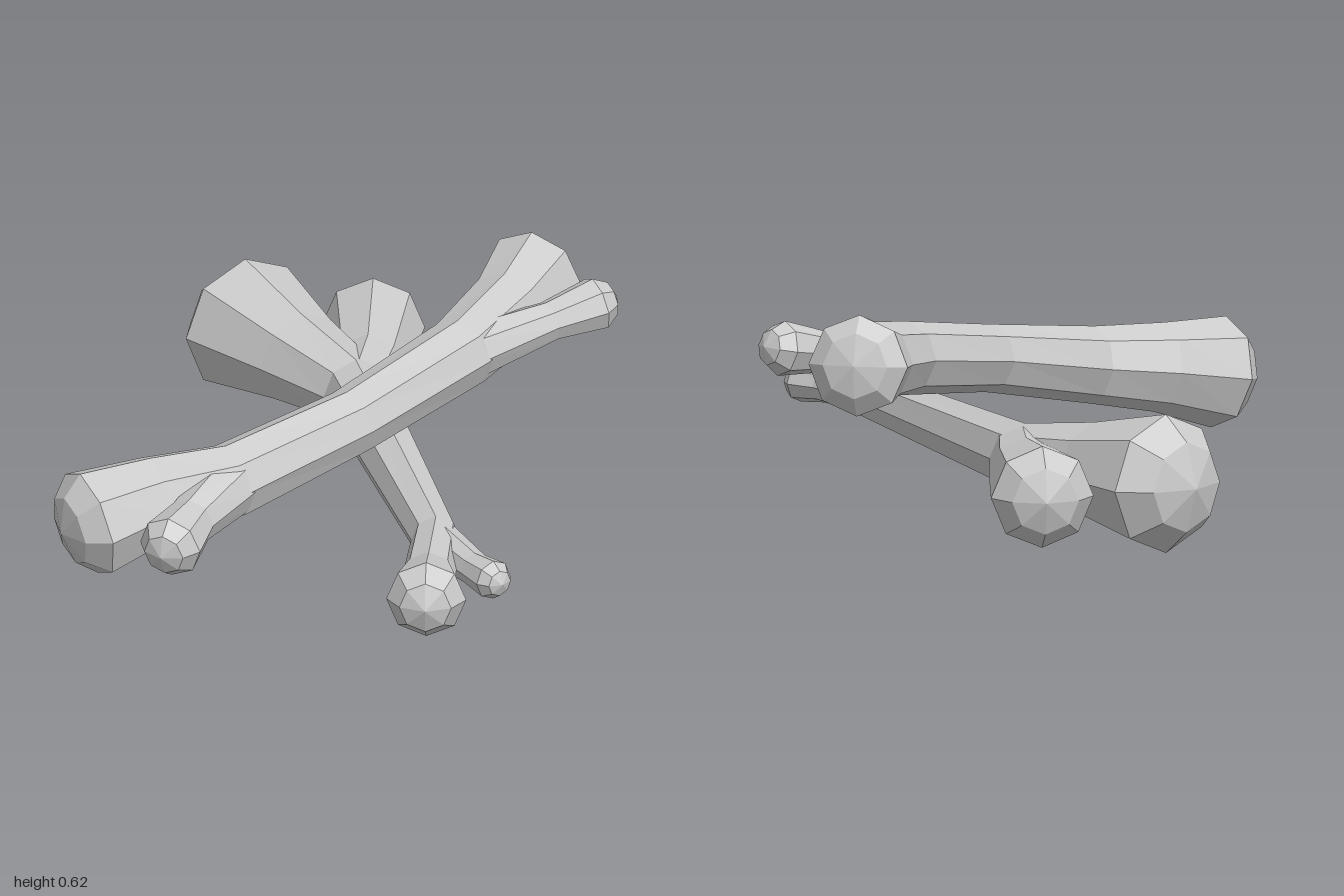
import * as THREE from 'three';

const SIDES = 8;
const material = new THREE.MeshStandardMaterial({ color: 0xcccccc, flatShading: true });

// Faceted limb through rings [x, y, z, radius]; each cap is the depth of a rounded end (0 = open).
function limb(name, rings, startCap, endCap) {
  const centres = rings.map(([x, y, z]) => new THREE.Vector3(x, y, z));
  const radii = rings.map((r) => r[3]);
  const last = centres.length - 1;
  const dir = (a, b) => centres[b].clone().sub(centres[a]).normalize();
  const tangents = centres.map((c, i) => {
    if (i === 0) return dir(0, 1);
    if (i === last) return dir(last - 1, last);
    return dir(i - 1, i).add(dir(i, i + 1)).normalize();
  });

  // A knob end is a smaller ring followed by a point
  const sections = centres.map((c, i) => ({ c, r: radii[i], t: tangents[i] }));
  const cap = (i, depth) => [[0.68, 0.65], [1, 0.001]].map(([d, k]) => ({
    c: centres[i].clone().addScaledVector(tangents[i], depth * d), r: radii[i] * k, t: tangents[i],
  }));
  if (endCap) sections.push(...cap(last, endCap));
  if (startCap) sections.unshift(...cap(0, -startCap).reverse());

  const positions = [];
  const index = [];
  const up = new THREE.Vector3(0, 1, 0);
  sections.forEach(({ c, r, t }, i) => {
    const side = up.clone().cross(t).normalize();
    const top = t.clone().cross(side);
    for (let j = 0; j < SIDES; j++) {
      const a = (j / SIDES) * Math.PI * 2;
      const p = c.clone().addScaledVector(side, r * Math.cos(a)).addScaledVector(top, r * Math.sin(a));
      positions.push(p.x, p.y, p.z);
      if (i === 0) continue;
      const k = (j + 1) % SIDES;
      const lo = (i - 1) * SIDES;
      const hi = i * SIDES;
      index.push(lo + j, lo + k, hi + k, lo + j, hi + k, hi + j);
    }
  });
  const geometry = new THREE.BufferGeometry();
  geometry.setAttribute('position', new THREE.Float32BufferAttribute(positions, 3));
  geometry.setIndex(index);
  geometry.computeVertexNormals();
  const mesh = new THREE.Mesh(geometry, material);
  mesh.name = name;
  return mesh;
}

function bone(name, ...parts) {
  const group = new THREE.Group();
  group.name = name;
  group.add(...parts);
  return group;
}

export function createModel() {
  const model = new THREE.Group();
  model.name = 'crossedBones';

  // Lower bone lies flat, running from back right to front left
  model.add(bone('lowerBone',
    limb('lowerShaft', [
      [-0.88, 0.2, -0.375, 0.19], [-0.6, 0.2, -0.36, 0.132], [-0.335, 0.2, -0.35, 0.095],
      [0.59, 0.2, 0.05, 0.067], [0.78, 0.2, 0.21, 0.072], [0.9, 0.2, 0.305, 0.108],
    ], 0.12, 0.085),
    limb('lowerBackKnuckle', [
      [-0.25, 0.2, -0.31, 0.07], [-0.335, 0.2, -0.36, 0.09], [-0.46, 0.19, -0.48, 0.1], [-0.7, 0.18, -0.67, 0.14],
    ], 0, 0.09),
    limb('lowerFrontKnuckle', [
      [0.5, 0.2, 0.01, 0.055], [0.59, 0.2, 0.05, 0.06], [0.81, 0.2, 0.08, 0.046], [0.9, 0.2, 0.082, 0.055],
    ], 0, 0.045),
  ));

  // Upper bone rests across it, rising toward the back
  model.add(bone('upperBone',
    limb('upperShaft', [
      [0.03, 0.24, 0.8, 0.152], [0.065, 0.275, 0.6, 0.122], [0.13, 0.3, 0.4, 0.105],
      [0.13, 0.37, 0, 0.092], [0.05, 0.435, -0.42, 0.1], [-0.055, 0.465, -0.65, 0.112],
      [-0.15, 0.49, -0.81, 0.137],
    ], 0.085, 0.06),
    limb('upperFrontKnuckle', [
      [0.13, 0.315, 0.3, 0.08], [0.14, 0.3, 0.4, 0.09], [0.225, 0.265, 0.6, 0.068], [0.295, 0.245, 0.72, 0.088],
    ], 0, 0.065),
    limb('upperBackKnuckle', [
      [0.07, 0.415, -0.32, 0.075], [0.06, 0.435, -0.42, 0.08], [0.1, 0.48, -0.68, 0.056], [0.125, 0.505, -0.82, 0.075],
    ], 0, 0.06),
  ));

  return model;
}
